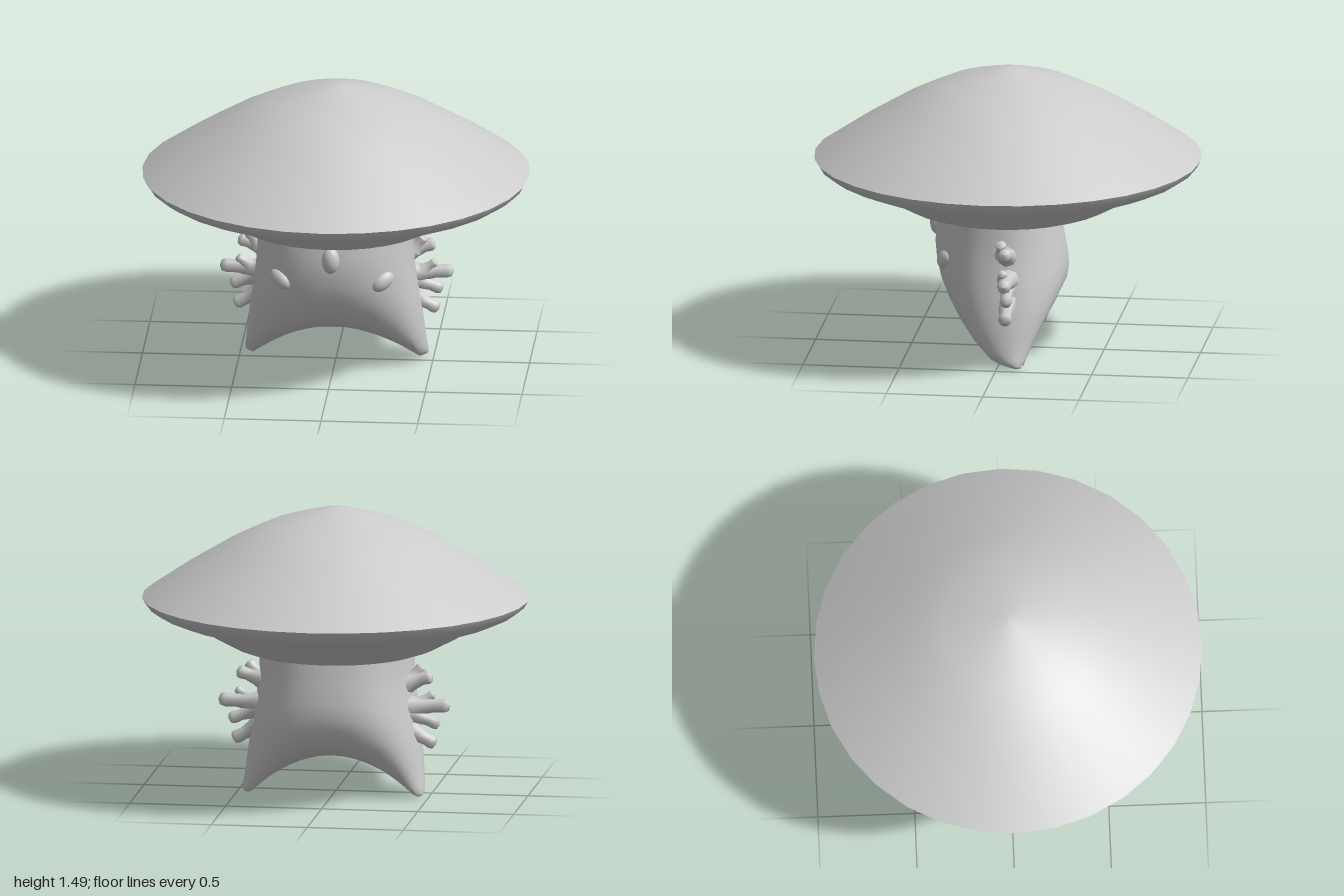
import * as THREE from 'three';
import { mergeVertices } from 'three/addons/utils/BufferGeometryUtils.js';

const material = new THREE.MeshStandardMaterial({ color: 0xcccccc, roughness: 0.8 });

function addMesh(parent, geometry, name) {
  const mesh = new THREE.Mesh(geometry, material);
  mesh.name = name;
  parent.add(mesh);
  return mesh;
}

// Turned surface, profile listed from bottom to top
function lathe(profile, segments = 32) {
  return new THREE.LatheGeometry(profile.map(([r, y]) => new THREE.Vector2(r, y)), segments);
}

// Body: oval rings stacked downwards, each bent to follow the arch between the two legs
function bodyGeometry() {
  // [share of the way down, half width, front z, back z]
  const rows = [
    [0, 0.4, 0.35, -0.26], [0.15, 0.4, 0.365, -0.275], [0.3, 0.41, 0.37, -0.29],
    [0.45, 0.425, 0.362, -0.305], [0.58, 0.44, 0.345, -0.31], [0.7, 0.452, 0.315, -0.298],
    [0.8, 0.46, 0.28, -0.272], [0.88, 0.467, 0.235, -0.235], [0.94, 0.473, 0.175, -0.195],
    [0.975, 0.472, 0.105, -0.155], [0.993, 0.462, 0.03, -0.105], [1, 0.445, -0.035, -0.035],
  ];
  const sides = 56, top = 0.75, positions = [], index = [];
  rows.forEach(([t, w, front, back], r) => {
    const mid = (front + back) / 2, depth = (front - back) / 2;
    for (let i = 0; i < sides; i++) {
      const a = (i / sides) * Math.PI * 2;
      const c = Math.cos(a), s = Math.sin(a);
      const x = w * Math.sign(c) * Math.abs(c) ** 0.9;
      const arch = Math.max(0, 0.2 * (1 - (x / 0.43) ** 2));
      const z = mid + depth * Math.sign(s) * Math.abs(s) ** 0.9 - 0.07 * t ** 4 * c * c;
      positions.push(x, top + (arch - top) * t, z);
      if (r < rows.length - 1) {
        const p = r * sides + i, q = r * sides + ((i + 1) % sides);
        index.push(p, q, p + sides, q, q + sides, p + sides);
      }
    }
  });
  const geometry = new THREE.BufferGeometry();
  geometry.setAttribute('position', new THREE.Float32BufferAttribute(positions, 3));
  geometry.setIndex(index);
  const merged = mergeVertices(geometry, 1e-4);
  merged.computeVertexNormals();
  return merged;
}

// Stubby feeler with a flared root and a blunt knob, running from one point to another
function addFeeler(parent, from, to, radius, name) {
  const a = new THREE.Vector3(...from), b = new THREE.Vector3(...to);
  const length = a.distanceTo(b);
  const profile = [[1.7, 0], [1.2, 0.3], [0.9, 0.6], [1, 0.83], [0.8, 0.95], [0, 1]];
  const mesh = addMesh(parent, lathe(profile.map(([r, y]) => [r * radius, y * length]), 8), name);
  mesh.position.copy(a);
  mesh.quaternion.setFromUnitVectors(new THREE.Vector3(0, 1, 0), b.sub(a).normalize());
}

function addEye(parent, position, yaw, roll, size, name) {
  const eye = addMesh(parent, new THREE.SphereGeometry(1, 20, 14), name);
  eye.position.set(...position);
  eye.rotation.set(0, yaw, roll);
  eye.scale.set(...size);
}

export function createModel() {
  const group = new THREE.Group();
  group.name = 'mushroomCreature';

  // Cap: sloping crown, rolled rim and a shallow bowl underneath
  const cap = new THREE.Group();
  cap.name = 'cap';
  group.add(cap);
  addMesh(cap, lathe([[1, 1.02], [0.8, 1.155], [0.56, 1.3], [0.44, 1.36], [0.33, 1.41],
    [0.2, 1.448], [0.08, 1.48], [0, 1.488]]), 'capCrown');
  addMesh(cap, lathe([[0, 0.73], [0.38, 0.73], [0.45, 0.743], [0.53, 0.77], [0.66, 0.84],
    [0.74, 0.895], [0.785, 0.915], [0.84, 0.912], [0.93, 0.95], [0.98, 0.985], [1, 1.02]]), 'capUnderside');

  addMesh(group, bodyGeometry(), 'body');

  // Three eyes
  addEye(group, [0, 0.655, 0.365], 0, 0, [0.046, 0.07, 0.04], 'middleEye');
  for (const side of [1, -1]) {
    const prefix = side > 0 ? 'left' : 'right';
    addEye(group, [side * 0.262, 0.525, 0.29], side * 0.55, side * -0.98,
      [0.046, 0.068, 0.04], prefix + 'Eye');

    // Feelers on the flanks: [from x, y, z], [to x, y, z], radius
    const feelers = [
      [[0.37, 0.58, -0.04], [0.51, 0.625, -0.05], 0.036],
      [[0.4, 0.6, -0.03], [0.455, 0.67, -0.02], 0.03],
      [[0.38, 0.46, -0.05], [0.605, 0.475, -0.055], 0.038],
      [[0.45, 0.48, -0.04], [0.515, 0.53, -0.035], 0.024],
      [[0.39, 0.43, -0.05], [0.55, 0.37, -0.06], 0.033],
      [[0.39, 0.34, -0.05], [0.53, 0.265, -0.05], 0.036],
    ];
    feelers.forEach(([from, to, radius], i) => {
      const flip = ([x, y, z]) => [side * x, y, z];
      addFeeler(group, flip(from), flip(to), radius, `${prefix}Feeler${i + 1}`);
    });
  }
  return group;
}
